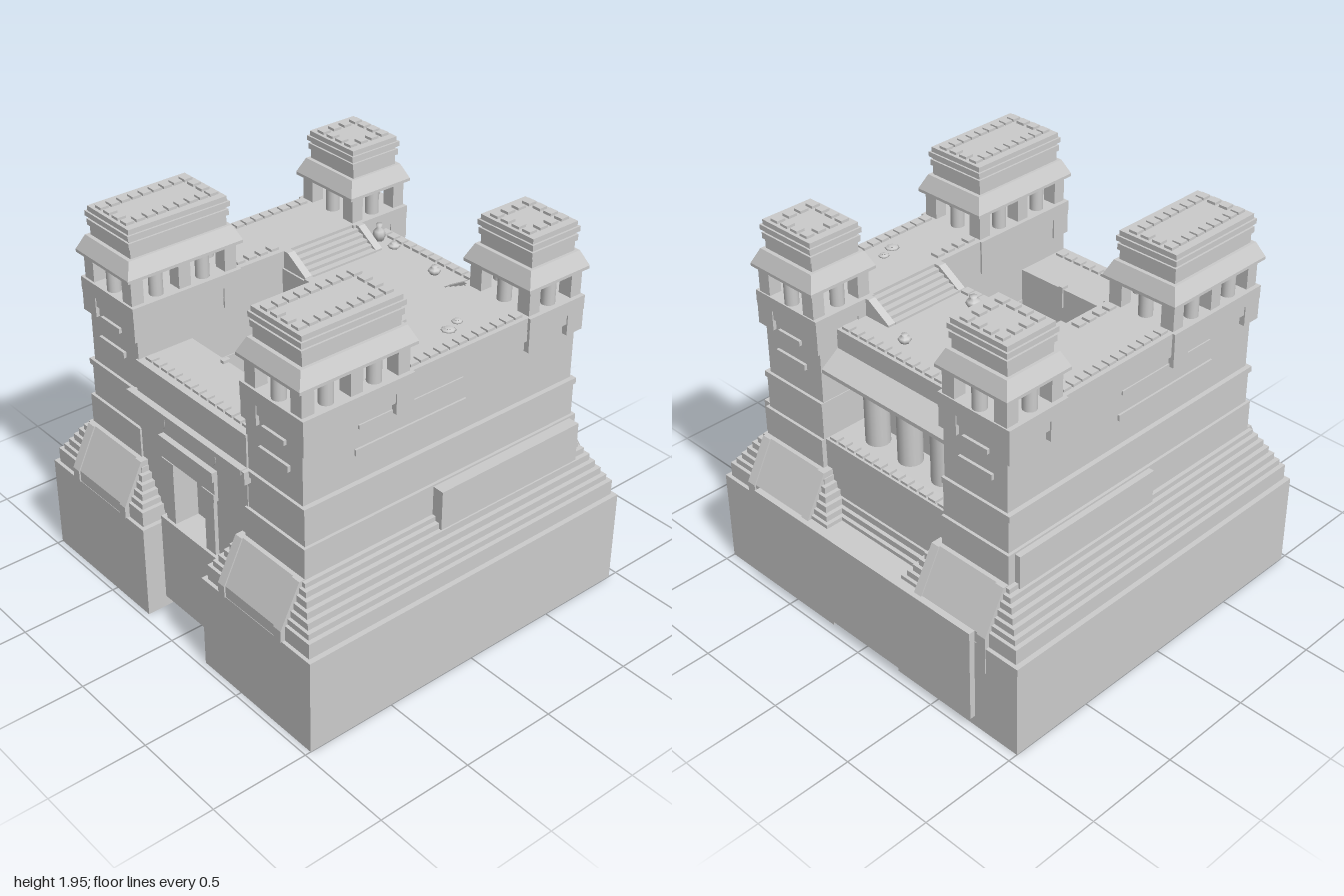
import * as THREE from 'three';

const mat = new THREE.MeshStandardMaterial({ color: 0xcccccc });
const thin = new THREE.MeshStandardMaterial({ color: 0xcccccc, side: THREE.DoubleSide });

export function createModel() {
  const root = new THREE.Group();
  const add = (name, geo, m = mat) => {
    const mesh = new THREE.Mesh(geo, m);
    mesh.name = name;
    root.add(mesh);
    return mesh;
  };
  // Box from its limits
  const box = (name, x0, x1, y0, y1, z0, z1) => add(name,
    new THREE.BoxGeometry(Math.abs(x1 - x0), y1 - y0, Math.abs(z1 - z0))
      .translate((x0 + x1) / 2, (y0 + y1) / 2, (z0 + z1) / 2));
  // Side profile of [z, y] points, extruded from x0 to x1
  const prism = (name, pts, x0, x1) => add(name,
    new THREE.ExtrudeGeometry(new THREE.Shape(pts.map(([z, y]) => new THREE.Vector2(-z, y))),
      { depth: Math.abs(x1 - x0), bevelEnabled: false })
      .rotateY(Math.PI / 2).translate(Math.min(x0, x1), 0, 0));
  const column = (name, x, z, y0, y1, r) => add(name,
    new THREE.CylinderGeometry(r, r, y1 - y0, 16).translate(x, (y0 + y1) / 2, z));
  // Row of merlons between two points
  const merlons = (x0, z0, x1, z1, y, n) => {
    for (let i = 0; i < n; i++) {
      const k = i / (n - 1), x = x0 + (x1 - x0) * k, z = z0 + (z1 - z0) * k;
      box('merlon', x - 0.023, x + 0.023, y, y + 0.013, z - 0.023, z + 0.023);
    }
  };
  // Four-sided roof skirt, narrower at its top
  const skirt = (name, cx, cz, w, d, y0, y1, inset) => {
    const g = new THREE.BoxGeometry(w, y1 - y0, d), p = g.attributes.position;
    for (let i = 0; i < p.count; i++) if (p.getY(i) > 0) {
      p.setX(i, p.getX(i) - Math.sign(p.getX(i)) * inset);
      p.setZ(i, p.getZ(i) - Math.sign(p.getZ(i)) * inset);
    }
    g.computeVertexNormals();
    add(name, g.translate(cx, (y0 + y1) / 2, cz));
  };

  // Hollow terraced base: notched plan that shrinks as t goes from 0 to 1
  const plan = (t) => {
    const X = 1 - 0.19 * t, F = 0.97 - 0.13 * t, B = -0.95 + 0.14 * t;
    const n = 0.23 + 0.17 * t, nz = 0.47 - 0.2 * t, bz = -0.86 + 0.16 * t;
    return [[X, F], [X, B], [n, B], [n, bz], [-n, bz], [-n, B], [-X, B], [-X, F],
      [-n, F], [-n, nz], [n, nz], [n, F]];
  };
  const levels = [[0, 0], [0, 0.5]];
  [0.58, 0.61, 0.645, 0.68, 0.715, 0.745, 0.77].forEach((y, i) => {
    const t = 0.14 + i * 0.125;
    levels.push([t, levels[levels.length - 1][1]], [t, y]);
  });
  levels.push([1, 0.77], [1, 0.93]);
  const verts = [];
  for (let i = 0; i < levels.length - 1; i++) {
    const [ta, ya] = levels[i], [tb, yb] = levels[i + 1], a = plan(ta), b = plan(tb);
    a.forEach((p, j) => {
      const k = (j + 1) % a.length;
      const A = [p[0], ya, p[1]], B = [a[k][0], ya, a[k][1]];
      const C = [b[k][0], yb, b[k][1]], D = [b[j][0], yb, b[j][1]];
      verts.push(...A, ...B, ...C, ...A, ...C, ...D);
    });
  }
  const shell = new THREE.BufferGeometry();
  shell.setAttribute('position', new THREE.Float32BufferAttribute(verts, 3));
  shell.computeVertexNormals();
  add('terracedBase', shell, thin);
  add('terraceFloor', new THREE.ShapeGeometry(new THREE.Shape(plan(1).map(([x, z]) => new THREE.Vector2(x, -z))))
    .rotateX(-Math.PI / 2).translate(0, 0.93, 0), thin);
  box('backSlab', -0.74, 0.73, 0.06, 0.56, -0.98, -0.8);
  box('backWall', -0.41, 0.41, 0.5, 0.93, -0.785, -0.69);

  // Central block with front and back porches
  box('centralBlock', -0.41, 0.41, 0.93, 1.48, -0.54, -0.02);
  box('backParapet', -0.41, 0.41, 1.36, 1.48, -0.68, -0.5);
  merlons(-0.36, -0.64, 0.36, -0.64, 1.48, 13);
  merlons(-0.21, -0.04, 0.21, -0.04, 1.48, 9);
  merlons(-0.36, -0.75, 0.36, -0.75, 0.93, 13);
  prism('backAwning', [[-0.5, 1.29], [-0.78, 1.29], [-0.78, 1.31], [-0.68, 1.38], [-0.5, 1.38]], -0.4, 0.4);
  prism('courtAwning', [[-0.02, 1.2], [0.09, 1.2], [0.09, 1.22], [0.06, 1.29], [-0.02, 1.29]], -0.4, 0.4);
  box('courtLedge', -0.4, 0.4, 0.93, 0.97, -0.02, 0.24);
  for (const x of [-0.22, 0, 0.22]) column('backPorchColumn', x, -0.62, 0.93, 1.29, 0.06);
  for (const x of [-0.3, -0.1, 0.1, 0.3]) column('courtColumn', x, 0.04, 0.95, 1.2, 0.03);

  for (const s of [-1, 1]) {
    // Long side wing
    box('foundationWall', s * 0.225, s * 0.235, 0, 0.56, -0.86, 0.47);
    box('wingLower', s * 0.4, s * 0.795, 0.93, 1.1, -0.795, 0.825);
    box('wingBand', s * 0.395, s * 0.805, 1.1, 1.13, -0.8, 0.835);
    box('wingUpper', s * 0.4, s * 0.78, 1.13, 1.57, -0.785, 0.82);
    box('wingCornice', s * 0.6, s * 0.795, 1.45, 1.57, -0.46, 0.23);
    box('sideRidge', s * 0.7, s * 0.79, 1.265, 1.295, -0.1, 0.54);
    box('sideRidge', s * 0.7, s * 0.787, 1.39, 1.41, -0.08, 0.52);
    box('sideBlock', s * 0.78, s > 0 ? 0.87 : -0.84, 0.5, 0.92, -0.77, 0.1);
    merlons(s * 0.75, -0.42, s * 0.75, 0.2, 1.57, 12);
    merlons(s * 0.45, 0.0, s * 0.45, 0.2, 1.57, 4);

    // Steps from the wing down to the central deck, with sloped cheeks
    for (let i = 0; i < 5; i++)
      box('roofStep', s * 0.41, s * (0.37 - i * 0.033), 1.47, 1.555 - i * 0.016, -0.47, -0.06);
    for (const z of [-0.51, -0.07]) {
      const cheek = new THREE.Shape([[0.42, 1.47], [0.42, 1.57], [0.37, 1.57], [0.24, 1.49], [0.24, 1.47]]
        .map(([x, y]) => new THREE.Vector2(s * x, y)));
      add('stairCheek', new THREE.ExtrudeGeometry(cheek, { depth: 0.04, bevelEnabled: false }).translate(0, 0, z));
    }

    // Sloped buttresses at both ends
    for (const [end, foot, top, wall] of [['front', 0.968, 0.862, 0.8], ['back', -0.947, -0.832, -0.77]]) {
      const profile = (e) => [[wall, 0.5], [foot + e, 0.5], [foot + e, 0.56], [top + e, 0.775], [wall, 0.775]];
      const proud = Math.sign(foot) * 0.008;
      prism(end + 'Buttress', profile(0), s * 0.4, s * 0.77);
      prism(end + 'ButtressRail', profile(proud), s * 0.365, s * 0.41);
      prism(end + 'ButtressRail', profile(proud), s * 0.76, s * 0.81);
    }
    box('backRailFoot', s * 0.76, s * 0.81, 0.36, 0.53, -0.955, -0.94);

    // Corner towers
    for (const [z0, z1, count, pillars, shafts] of [
      [0.24, 0.83, 9, [0.275, 0.535, 0.795], [0.41, 0.67]],
      [-0.795, -0.465, 4, [-0.765, -0.5], [-0.625]]]) {
      const cx = 0.6 * s, cz = (z0 + z1) / 2, d = z1 - z0;
      const block = (name, w, dd, y0, y1) =>
        box(name, cx - w / 2, cx + w / 2, y0, y1, cz - dd / 2, cz + dd / 2);
      block('towerCornice', 0.405, d + 0.005, 1.45, 1.52);
      block('towerCap', 0.42, d + 0.02, 1.5, 1.57);
      for (const a of [-1, 1]) for (const b of [-1, 1]) {
        const px = cx + a * 0.157, pz = cz + b * (d / 2 - 0.042);
        box('cornerTab', px - 0.052, px + 0.052, 1.395, 1.53, pz - 0.05, pz + 0.05);
      }
      const face = z0 > 0 ? 0.825 : -0.79;
      box('towerRidge', cx - 0.1, cx + 0.1, 1.265, 1.295, face - 0.01, face + 0.01);
      box('towerRidge', cx - 0.075, cx + 0.075, 1.385, 1.41, face - 0.01, face + 0.01);

      // Open storey
      for (const z of pillars) for (const x of [-0.152, 0.152])
        box('towerPillar', cx + x - 0.036, cx + x + 0.036, 1.57, 1.72, z - 0.033, z + 0.033);
      for (const z of shafts) for (const x of [-0.15, 0.15]) column('towerColumn', cx + x, z, 1.57, 1.72, 0.034);
      for (const z of [pillars[0], pillars[pillars.length - 1]]) column('towerColumn', cx, z, 1.57, 1.72, 0.034);

      // Roof
      block('eaveRim', 0.42, d + 0.05, 1.7, 1.715);
      skirt('towerEave', cx, cz, 0.42, d + 0.05, 1.715, 1.79, 0.035);
      block('towerAttic', 0.32, d - 0.06, 1.79, 1.84);
      block('towerBand', 0.335, d - 0.04, 1.84, 1.87);
      block('towerBand', 0.315, d - 0.06, 1.87, 1.885);
      block('towerBand', 0.345, d - 0.03, 1.885, 1.91);
      block('towerTop', 0.325, d - 0.05, 1.91, 1.935);
      const h = d / 2 - 0.065, xs = 0.1;
      for (const x of [-xs, xs]) merlons(cx + x, cz - h, cx + x, cz + h, 1.935, count);
      for (const z of [-h, h]) merlons(cx - xs / 3, cz + z, cx + xs / 3, cz + z, 1.935, 2);
    }
  }

  // Gatehouse wall with doorway, hollow below the sill
  box('gateFoundation', -0.23, 0.23, 0.06, 0.54, 0.82, 0.865);
  box('gateFoundation', -0.23, 0.23, 0.06, 0.54, 0.52, 0.54);
  box('gateSill', -0.23, 0.23, 0.5, 0.54, 0.54, 0.82);
  const wall = new THREE.Shape([[-0.23, 0.5], [0.23, 0.5], [0.26, 0.57], [0.41, 0.77], [0.41, 1.3],
    [-0.41, 1.3], [-0.41, 0.77], [-0.26, 0.57]].map(([x, y]) => new THREE.Vector2(x, y)));
  wall.holes.push(new THREE.Path([[-0.13, 0.54], [-0.13, 0.88], [0.11, 0.88], [0.11, 0.54]]
    .map(([x, y]) => new THREE.Vector2(x, y))));
  add('gateWall', new THREE.ExtrudeGeometry(wall, { depth: 0.31, bevelEnabled: false }).translate(0, 0, 0.52));
  box('doorLeaf', -0.13, -0.015, 0.54, 0.88, 0.7, 0.72);
  box('doorLeaf', -0.005, 0.11, 0.54, 0.88, 0.73, 0.75);
  for (const x of [-0.165, 0.145]) {
    box('doorJamb', x - 0.035, x + 0.035, 0.54, 0.88, 0.8, 0.85);
    box('jambCapital', x - 0.045, x + 0.045, 0.84, 0.88, 0.8, 0.855);
  }
  box('doorLintel', -0.21, 0.19, 0.88, 0.95, 0.8, 0.85);
  box('lintelCap', -0.22, 0.19, 0.95, 1.0, 0.8, 0.86);
  box('gateBand', -0.46, 0.43, 1.065, 1.13, 0.8, 0.86);
  box('gateBandCap', -0.44, 0.41, 1.11, 1.135, 0.8, 0.864);
  for (const x of [-0.2, 0.18])
    add('bandRoundel', new THREE.CylinderGeometry(0.045, 0.045, 0.05, 20).rotateX(Math.PI / 2).translate(x, 1.09, 0.837));
  merlons(-0.36, 0.77, 0.36, 0.77, 1.3, 13);
  for (const x of [-0.13, 0.13]) box('walkwayPost', x - 0.012, x + 0.012, 1.2, 1.315, 0.51, 0.55);

  // Roof jars: x, z, base height, width scale, height scale
  const jar = [[0, 0], [0.025, 0], [0.036, 0.02], [0.03, 0.035], [0.013, 0.045], [0.018, 0.058], [0, 0.058]];
  for (const [x, z, y, w, h] of [[-0.33, -0.57, 1.48, 0.9, 1.5], [-0.22, -0.57, 1.48, 0.9, 0.5],
    [0.1, -0.54, 1.48, 0.9, 0.7], [0.1, -0.11, 1.48, 1.1, 1], [0.62, -0.19, 1.57, 0.75, 0.3],
    [0.65, -0.11, 1.57, 1, 0.3]]) {
    add('roofJar', new THREE.LatheGeometry(jar.map(([r, t]) => new THREE.Vector2(r * w, t * h)), 8)
      .translate(x, y, z));
  }
  return root;
}
